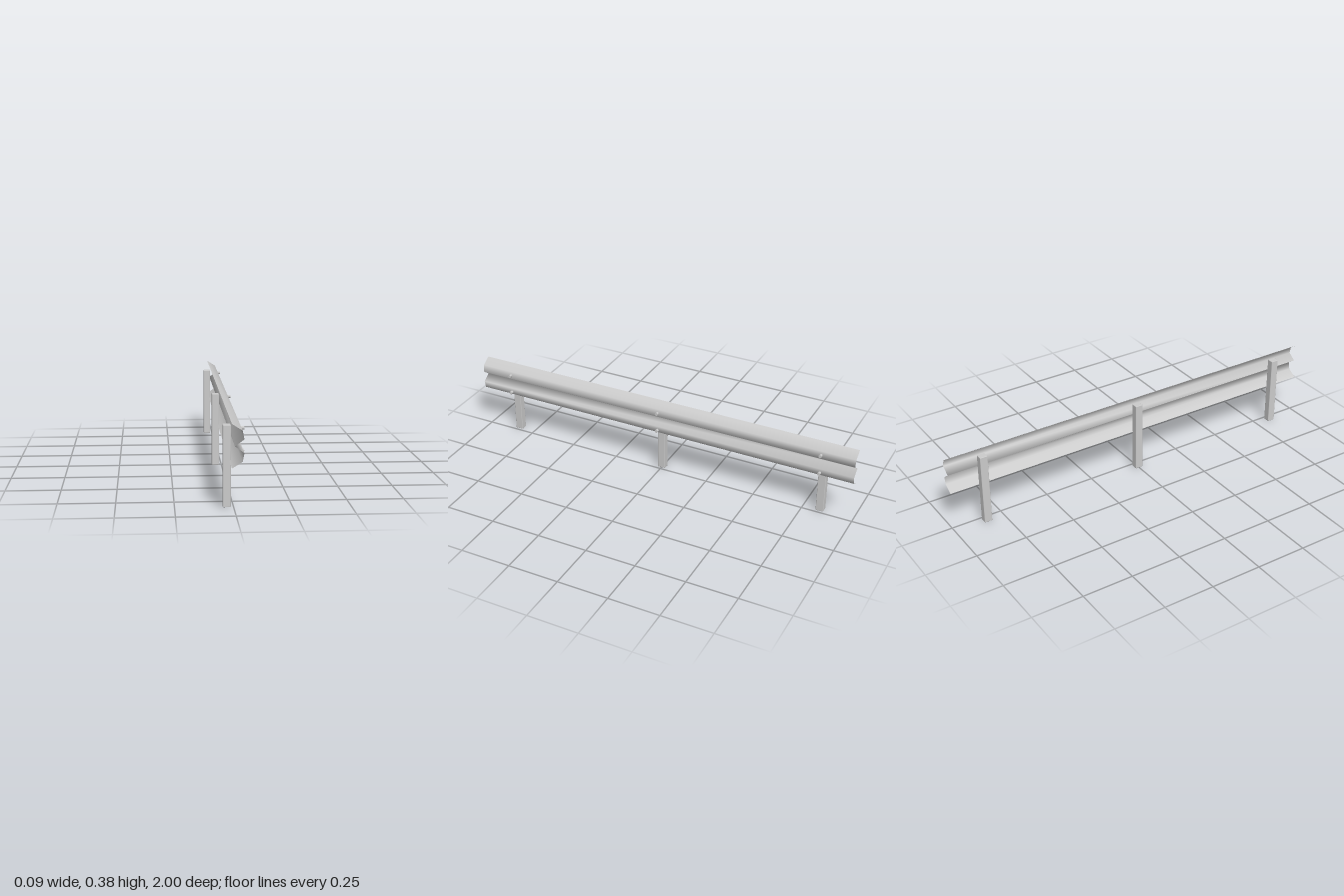
import * as THREE from 'three';
import { RoundedBoxGeometry } from 'three/addons/geometries/RoundedBoxGeometry.js';

const steel = new THREE.MeshStandardMaterial({ color: 0xcccccc });
const sheet = new THREE.MeshStandardMaterial({ color: 0xcccccc, side: THREE.DoubleSide });

// W-shaped cross-section of the rail as [x, y], top to bottom
const profile = [
  [-0.018, 0.385], [0.026, 0.357], [0.033, 0.321], [-0.006, 0.2925],
  [0.033, 0.264], [0.026, 0.228], [-0.018, 0.2],
];

// Thin corrugated sheet: a plane facing +x whose rows follow the profile
function createRail() {
  const geometry = new THREE.PlaneGeometry(2, 1, 1, profile.length - 1).rotateY(Math.PI / 2);
  const position = geometry.attributes.position;
  for (let i = 0; i < position.count; i++) {
    const [x, y] = profile[Math.floor(i / 2)];
    position.setXYZ(i, x, y, position.getZ(i));
  }
  geometry.computeVertexNormals();
  const rail = new THREE.Mesh(geometry, sheet);
  rail.name = 'rail';
  return rail;
}

export function createModel() {
  const model = new THREE.Group();
  model.name = 'guardrail';
  model.add(createRail());

  const postGeometry = new RoundedBoxGeometry(0.034, 0.354, 0.039, 1, 0.003);
  const boltGeometry = new THREE.CylinderGeometry(0.008, 0.008, 0.014, 8).rotateZ(-Math.PI / 2);

  // Each post carries two bolts on the rail's crests
  for (const z of [-0.835, 0, 0.835]) {
    const post = new THREE.Mesh(postGeometry, steel);
    post.name = 'post';
    post.position.set(-0.029, 0.177, z);
    model.add(post);

    for (const y of [0.338, 0.242]) {
      const bolt = new THREE.Mesh(boltGeometry, steel);
      bolt.name = 'bolt';
      bolt.position.set(0.038, y, z);
      model.add(bolt);
    }
  }
  return model;
}
